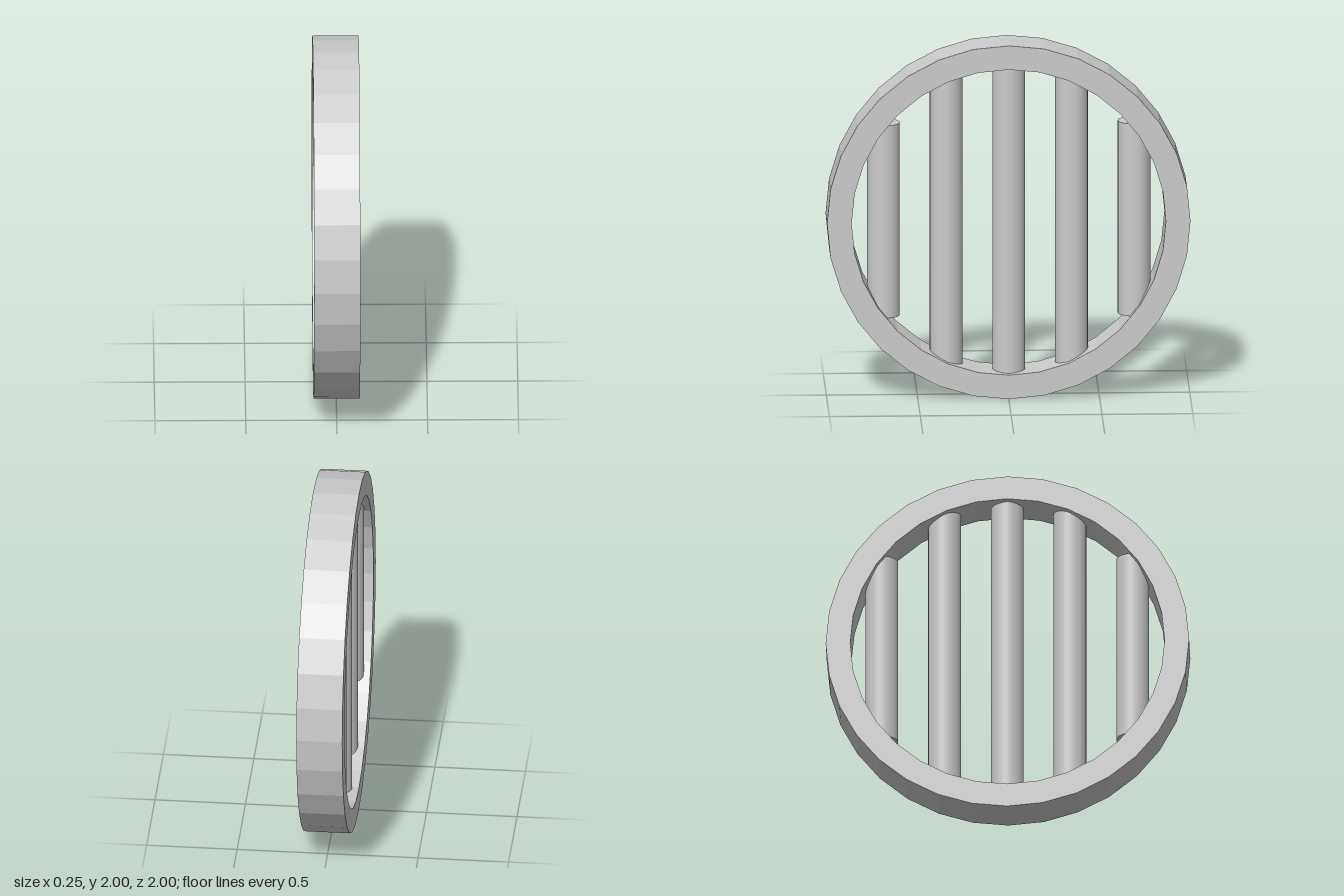
import * as THREE from 'three';

const material = new THREE.MeshStandardMaterial({ color: 0xcccccc });
const flatMaterial = new THREE.MeshStandardMaterial({ color: 0xcccccc, flatShading: true });

// Corners of a regular polygon around the origin
function polygon(radius, sides) {
  return Array.from({ length: sides }, (_, i) => {
    const a = (i / sides) * Math.PI * 2;
    return new THREE.Vector2(Math.cos(a) * radius, Math.sin(a) * radius);
  });
}

export function createModel() {
  const group = new THREE.Group();
  group.name = 'roundGrille';

  // Faceted ring, lying in the yz plane
  const width = 0.254;
  const outline = new THREE.Shape(polygon(1, 32));
  outline.holes.push(new THREE.Path(polygon(0.865, 32).reverse()));
  const ringGeometry = new THREE.ExtrudeGeometry(outline, { depth: width, bevelEnabled: false });
  ringGeometry.translate(0, 0, -width / 2).rotateY(Math.PI / 2);
  const ring = new THREE.Mesh(ringGeometry, flatMaterial);
  ring.name = 'ring';
  ring.position.y = 1;
  group.add(ring);

  // Five upright round bars, shorter towards the sides
  const halfLengths = [0.545, 0.827, 0.875, 0.827, 0.545];
  halfLengths.forEach((half, i) => {
    const bar = new THREE.Mesh(new THREE.CylinderGeometry(0.09, 0.09, half * 2, 32), material);
    bar.name = `bar${i + 1}`;
    bar.position.set(0, 0.998, -0.004 + (2 - i) * 0.345);
    group.add(bar);
  });

  return group;
}
